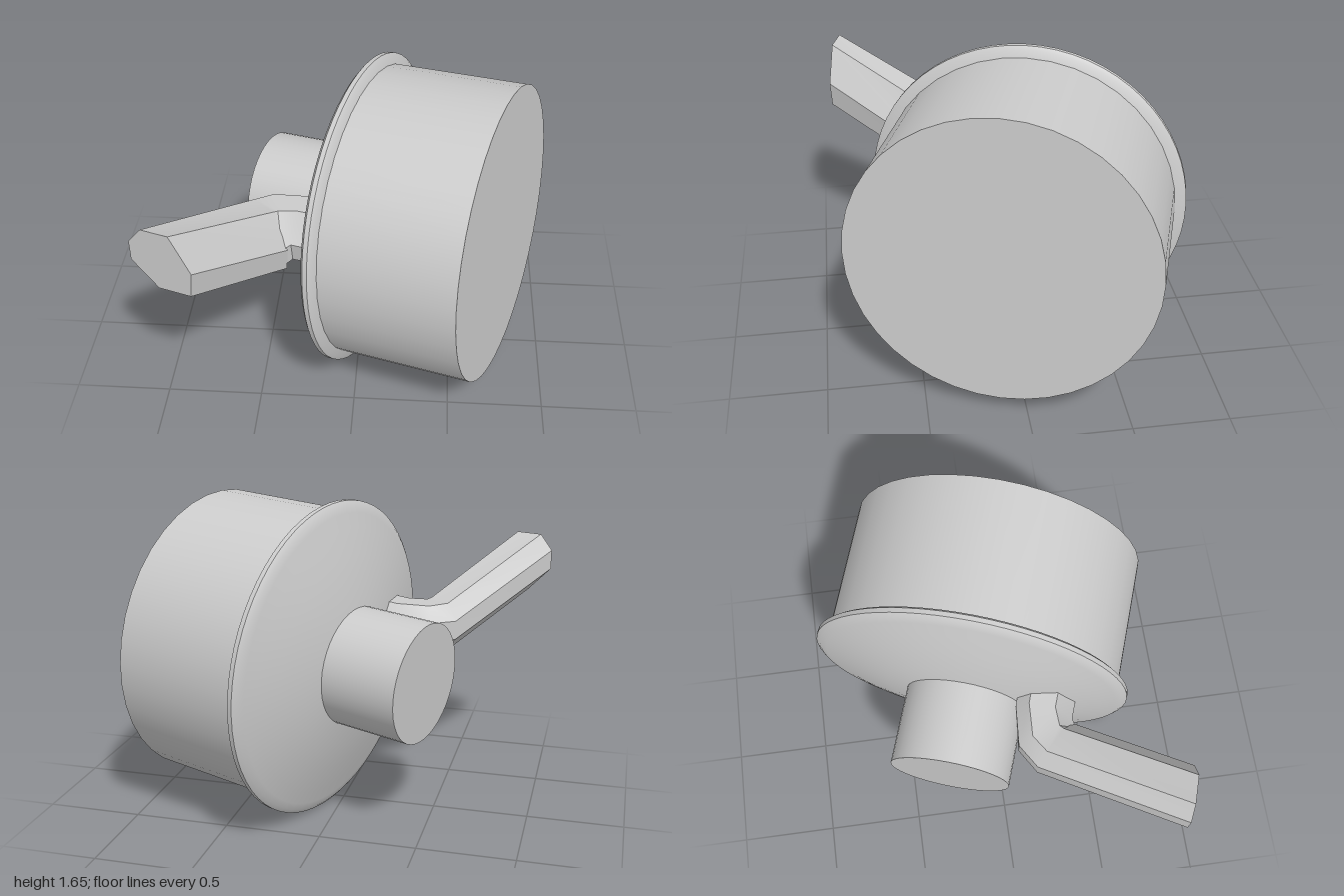
import * as THREE from 'three';
import { toCreasedNormals } from 'three/addons/utils/BufferGeometryUtils.js';

const material = new THREE.MeshStandardMaterial({ color: 0xcccccc });

function part(name, geometry, mat = material) {
  const mesh = new THREE.Mesh(geometry, mat);
  mesh.name = name;
  return mesh;
}

// Cylinder between two heights on the drum axis
function drum(name, radius, from, to) {
  const g = new THREE.CylinderGeometry(radius, radius, to - from, 40);
  g.translate(0, (from + to) / 2, 0);
  return part(name, g);
}

// Skin over successive rings, closed at both ends
function loft(rings) {
  const pos = [];
  const tri = (...pts) => pts.forEach((p) => pos.push(p.x, p.y, p.z));
  const n = rings[0].length;
  for (let i = 0; i < rings.length - 1; i++) {
    for (let j = 0; j < n; j++) {
      const k = (j + 1) % n;
      const a = rings[i][j], b = rings[i][k], c = rings[i + 1][k], d = rings[i + 1][j];
      tri(a, b, c);
      tri(a, c, d);
    }
  }
  const first = rings[0], last = rings[rings.length - 1];
  for (let j = 1; j < n - 1; j++) {
    tri(first[0], first[j + 1], first[j]);
    tri(last[0], last[j], last[j + 1]);
  }
  const g = new THREE.BufferGeometry();
  g.setAttribute('position', new THREE.Float32BufferAttribute(pos, 3));
  g.computeVertexNormals();
  return g;
}

export function createModel() {
  const group = new THREE.Group();

  // Drum assembly, turned on a slanted axis; its large flat face is the origin
  const housing = new THREE.Group();
  housing.name = 'housing';
  housing.position.set(0.747, 0.872, 0.13);
  const axis = new THREE.Vector3(0.945, 0.055, 0.322).normalize();
  housing.quaternion.setFromUnitVectors(new THREE.Vector3(0, 1, 0), axis);
  group.add(housing);

  housing.add(drum('body', 0.773, -0.74, 0));
  housing.add(drum('rearBoss', 0.31, -1.31, -0.85));

  // Domed cover with its projecting rim
  const profile = [
    [0.28, -0.905], [0.42, -0.88], [0.57, -0.84], [0.7, -0.803], [0.77, -0.78],
    [0.805, -0.77], [0.828, -0.752], [0.828, -0.728], [0.81, -0.715], [0.765, -0.7],
  ].map(([r, y]) => new THREE.Vector2(r, y));
  housing.add(part('coverAndRim', toCreasedNormals(new THREE.LatheGeometry(profile, 64), 0.5)));

  // Faceted side pipe: oblique open end, mitred elbow, short neck into the cover
  const section = [
    [-0.08, 0.165], [0.06, 0.165], [0.16, -0.025], [0.145, -0.16],
    [-0.02, -0.16], [-0.15, -0.025], [-0.15, 0.08],
  ];
  // centre, horizontal direction (x, z), width scale, height scale
  const stations = [
    [[-0.855, 1.19, 0.835], [0.95, 0.3], 1, 1],
    [[-0.455, 0.93, 0.255], [0.72, 0.7], 1.03, 0.95],
    [[-0.405, 0.935, 0.22], [0.25, 0.97], 1.03, 0.88],
    [[-0.275, 0.955, 0.22], [-0.3, 0.95], 0.95, 0.76],
    [[-0.1, 0.965, 0.28], [-0.3, 0.95], 0.95, 0.76],
  ];
  const rings = stations.map(([c, d, w, h]) => section.map(([u, v]) =>
    new THREE.Vector3(c[0] + u * w * d[0], c[1] + v * h, c[2] + u * w * d[1])));
  group.add(part('sidePipe', toCreasedNormals(loft(rings), 0.45)));

  return group;
}
